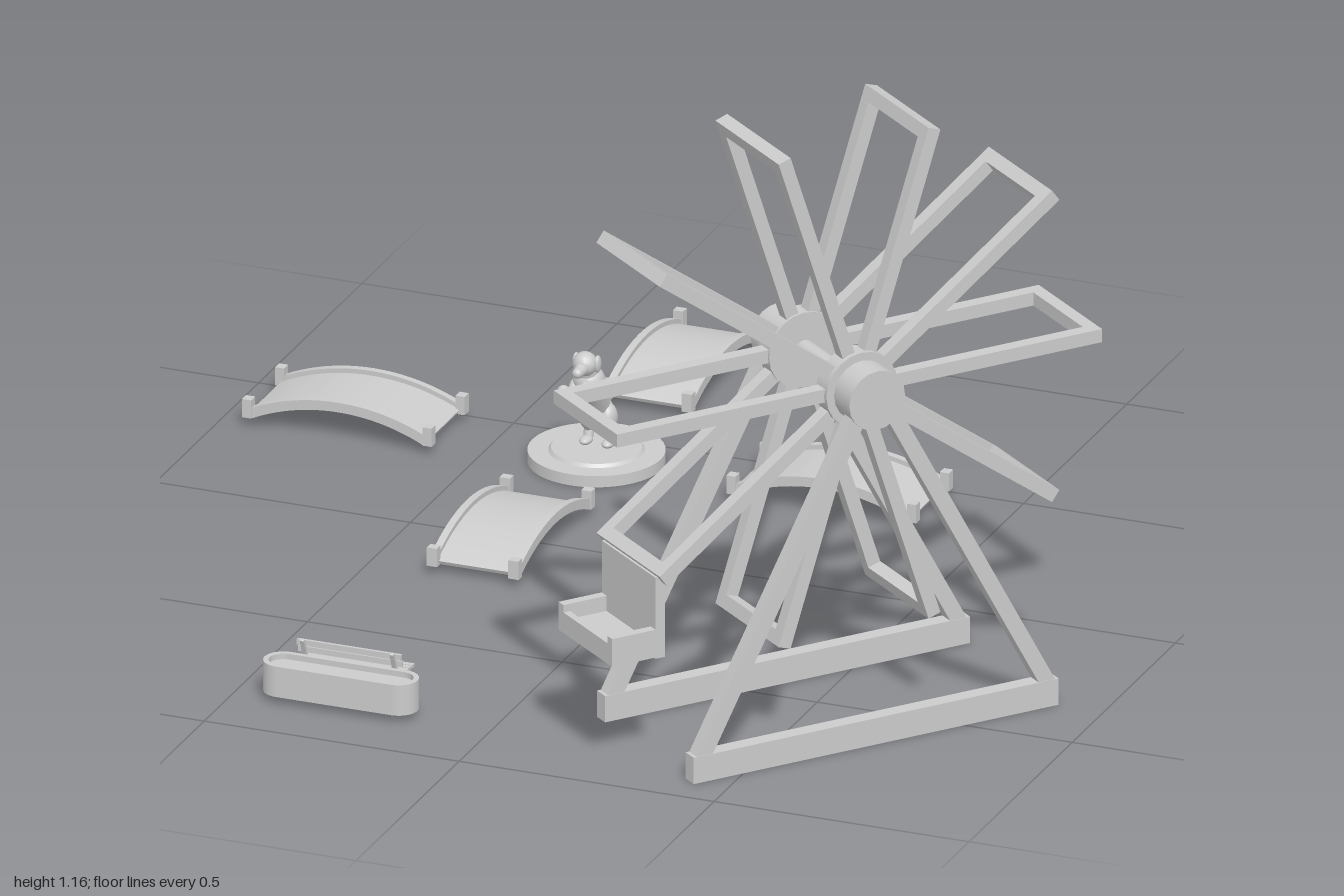
import * as THREE from 'three';

const mat = new THREE.MeshStandardMaterial({ color: 0xcccccc });
const up = new THREE.Vector3(0, 1, 0);

function add(parent, name, geo, x = 0, y = 0, z = 0) {
  const m = new THREE.Mesh(geo, mat);
  m.name = name;
  m.position.set(x, y, z);
  parent.add(m);
  return m;
}
const box = (p, name, w, h, d, x, y, z) => add(p, name, new THREE.BoxGeometry(w, h, d), x, y, z);

function group(parent, name, x = 0, y = 0, z = 0) {
  const g = new THREE.Group();
  g.name = name;
  g.position.set(x, y, z);
  parent.add(g);
  return g;
}

// Tapered round limb between two points
function limb(parent, name, a, b, ra, rb) {
  const A = new THREE.Vector3(...a), B = new THREE.Vector3(...b);
  const d = B.clone().sub(A);
  const m = add(parent, name, new THREE.CylinderGeometry(rb, ra, d.length(), 12));
  m.position.copy(A).addScaledVector(d, 0.5);
  m.quaternion.setFromUnitVectors(up, d.normalize());
  return m;
}

function ball(parent, name, p, r, sx = 1, sy = 1, sz = 1) {
  const m = add(parent, name, new THREE.SphereGeometry(r, 16, 12), ...p);
  m.scale.set(sx, sy, sz);
  return m;
}

// Ferris wheel: local x lies in the wheel plane, local z along the axle
function ferrisWheel(root) {
  const g = group(root, 'ferrisWheel', 0.533, 0, 0.53);
  g.rotation.y = 0.894;
  const hubY = 0.68, R = 0.505, t = 0.026;

  const wheel = group(g, 'wheel', 0, hubY, 0);
  for (let i = 0; i < 10; i++) {
    const arm = group(wheel, 'arm');
    arm.rotation.z = i * Math.PI / 5;
    for (const s of [-1, 1]) box(arm, 'armRail', R - 0.04, t, t, (R + 0.04) / 2, 0, s * 0.105);
    box(arm, 'armEndBar', t, t, 0.184, R - t / 2, 0, 0);
  }

  const disc = (name, r, h, z) => {
    add(g, name, new THREE.CylinderGeometry(r, r, h, 20), 0, hubY, z).rotation.x = Math.PI / 2;
  };
  disc('axle', 0.02, 0.3, 0);
  for (const s of [-1, 1]) {
    disc('innerHub', 0.074, 0.04, s * 0.107);
    disc('outerHub', 0.058, 0.058, s * 0.155);
    box(g, 'baseBeam', 0.76, 0.052, 0.03, 0, 0.026, s * 0.165);
    // A-frame legs
    for (const e of [-1, 1]) {
      const dx = -e * 0.345, dy = hubY - 0.04;
      const leg = box(g, 'supportLeg', 0.03, Math.hypot(dx, dy), 0.028, e * 0.19, 0.04 + dy / 2, s * 0.165);
      leg.rotation.z = -Math.atan2(dx, dy);
    }
  }

  // Hanging seat
  const c = group(g, 'chair', -0.405, 0, 0);
  box(c, 'chairBack', 0.02, 0.16, 0.2, 0, 0.305, 0);
  box(c, 'chairSeat', 0.1, 0.025, 0.2, -0.05, 0.24, 0);
  for (const s of [-1, 1]) box(c, 'chairSide', 0.1, 0.055, 0.018, -0.05, 0.255, s * 0.091);
  box(c, 'chairFrontLip', 0.014, 0.04, 0.17, -0.093, 0.248, 0);
}

// Curved strip following the bridge arc, extruded across its width
function archGeometry(top, thick, width) {
  const r = 0.403, half = 0.45, cy = top - r;
  const s = new THREE.Shape();
  s.absarc(0, cy, r, Math.PI / 2 - half, Math.PI / 2 + half, false);
  s.absarc(0, cy, r - thick, Math.PI / 2 + half, Math.PI / 2 - half, true);
  s.closePath();
  return new THREE.ExtrudeGeometry(s, { depth: width, bevelEnabled: false, curveSegments: 20 })
    .translate(0, 0, -width / 2);
}

function bridge(root, x, z, turn) {
  const g = group(root, 'archBridge', x, 0, z);
  g.rotation.y = turn;
  add(g, 'deck', archGeometry(0.064, 0.008, 0.16));
  for (const s of [-1, 1]) {
    add(g, 'sideRail', archGeometry(0.073, 0.019, 0.014), 0, 0, s * 0.08);
    for (const e of [-1, 1]) box(g, 'cornerPost', 0.018, 0.036, 0.02, e * 0.177, 0.034, s * 0.08);
  }
}

// Round plinth with a dog rearing up on its hind legs
function statue(root) {
  const g = group(root, 'dogStatue', -0.295, 0, -0.395);
  const profile = [[0, 0.008], [0.11, 0.008], [0.115, 0], [0.126, 0], [0.126, 0.022], [0.088, 0.022], [0.083, 0.028], [0, 0.028]];
  // Each profile step gets its own ring so edges stay crisp
  for (let i = 1; i < profile.length; i++) {
    const pts = [profile[i - 1], profile[i]].map(p => new THREE.Vector2(...p));
    add(g, 'plinth', new THREE.LatheGeometry(pts, 40));
  }

  const d = group(g, 'dog');
  limb(d, 'torso', [0, 0.1, -0.01], [0, 0.172, 0.035], 0.023, 0.029);
  ball(d, 'haunches', [0, 0.095, -0.013], 0.027);
  ball(d, 'chest', [0, 0.172, 0.036], 0.03);
  limb(d, 'neck', [0, 0.175, 0.037], [0, 0.208, 0.05], 0.022, 0.018);
  ball(d, 'head', [0, 0.213, 0.056], 0.023);
  limb(d, 'muzzle', [0, 0.21, 0.062], [0, 0.207, 0.092], 0.014, 0.01);
  ball(d, 'nose', [0, 0.208, 0.092], 0.01);
  limb(d, 'tail', [0, 0.09, -0.025], [0, 0.068, -0.08], 0.01, 0.005);
  for (const s of [-1, 1]) {
    ball(d, 'ear', [s * 0.021, 0.212, 0.047], 0.014, 0.45, 1.2, 0.8);
    const lift = s > 0 ? 0.008 : -0.006;
    const elbow = [s * 0.023, 0.152 + lift, 0.075], paw = [s * 0.022, 0.18 + lift, 0.106];
    limb(d, 'upperForeleg', [s * 0.021, 0.165, 0.042], elbow, 0.013, 0.01);
    limb(d, 'lowerForeleg', elbow, paw, 0.01, 0.008);
    ball(d, 'forePaw', paw, 0.012);
    ball(d, 'thigh', [s * 0.02, 0.085, -0.008], 0.021, 0.8, 1.3, 1);
    limb(d, 'upperHindLeg', [s * 0.021, 0.08, -0.004], [s * 0.022, 0.055, -0.02], 0.015, 0.01);
    limb(d, 'lowerHindLeg', [s * 0.022, 0.055, -0.02], [s * 0.022, 0.033, -0.012], 0.01, 0.009);
    ball(d, 'hindPaw', [s * 0.022, 0.036, -0.004], 0.013, 0.9, 0.6, 1.4);
  }
}

// Stadium outline, centred, drawn in the xy plane
function stadium(Shape, half, r) {
  const s = new Shape();
  const c = half - r;
  s.absarc(c, 0, r, -Math.PI / 2, Math.PI / 2, false);
  s.absarc(-c, 0, r, Math.PI / 2, Math.PI * 1.5, false);
  s.closePath();
  return s;
}

function planterAndBench(root) {
  const g = group(root, 'planterAndBench', -0.295, 0, 0.843);
  const slab = (name, shape, h, y) => {
    const geo = new THREE.ExtrudeGeometry(shape, { depth: h, bevelEnabled: false, curveSegments: 16 });
    add(g, name, geo.rotateX(-Math.PI / 2), 0, y, 0);
  };
  const wall = stadium(THREE.Shape, 0.15, 0.037);
  wall.holes.push(stadium(THREE.Path, 0.14, 0.027));
  slab('planterWall', wall, 0.06, 0.015);
  slab('planterSoil', stadium(THREE.Shape, 0.141, 0.028), 0.048, 0.016);

  // Slatted bench backing onto the planter
  for (let i = 0; i < 4; i++) box(g, 'seatSlat', 0.204, 0.006, 0.01, 0, 0.058, -0.098 + i * 0.013);
  for (let i = 0; i < 2; i++) box(g, 'backSlat', 0.204, 0.011, 0.006, 0, 0.082 + i * 0.015, -0.046 + i * 0.006);
  for (const s of [-1, 1]) {
    const x = s * 0.088;
    box(g, 'seatBearer', 0.008, 0.007, 0.066, x, 0.052, -0.069);
    box(g, 'benchFrontLeg', 0.008, 0.04, 0.008, x, 0.034, -0.096);
    box(g, 'benchRearLeg', 0.008, 0.04, 0.008, x, 0.034, -0.05);
    box(g, 'backPost', 0.008, 0.055, 0.007, x, 0.08, -0.04).rotation.x = 0.38;
  }
}

export function createModel() {
  const root = new THREE.Group();
  root.name = 'playPark';
  ferrisWheel(root);
  statue(root);
  planterAndBench(root);
  for (const s of [-1, 1]) {
    bridge(root, -0.293 + s * 0.475, -0.395, 0);
    bridge(root, -0.293, -0.395 + s * 0.42, Math.PI / 2);
  }
  return root;
}
